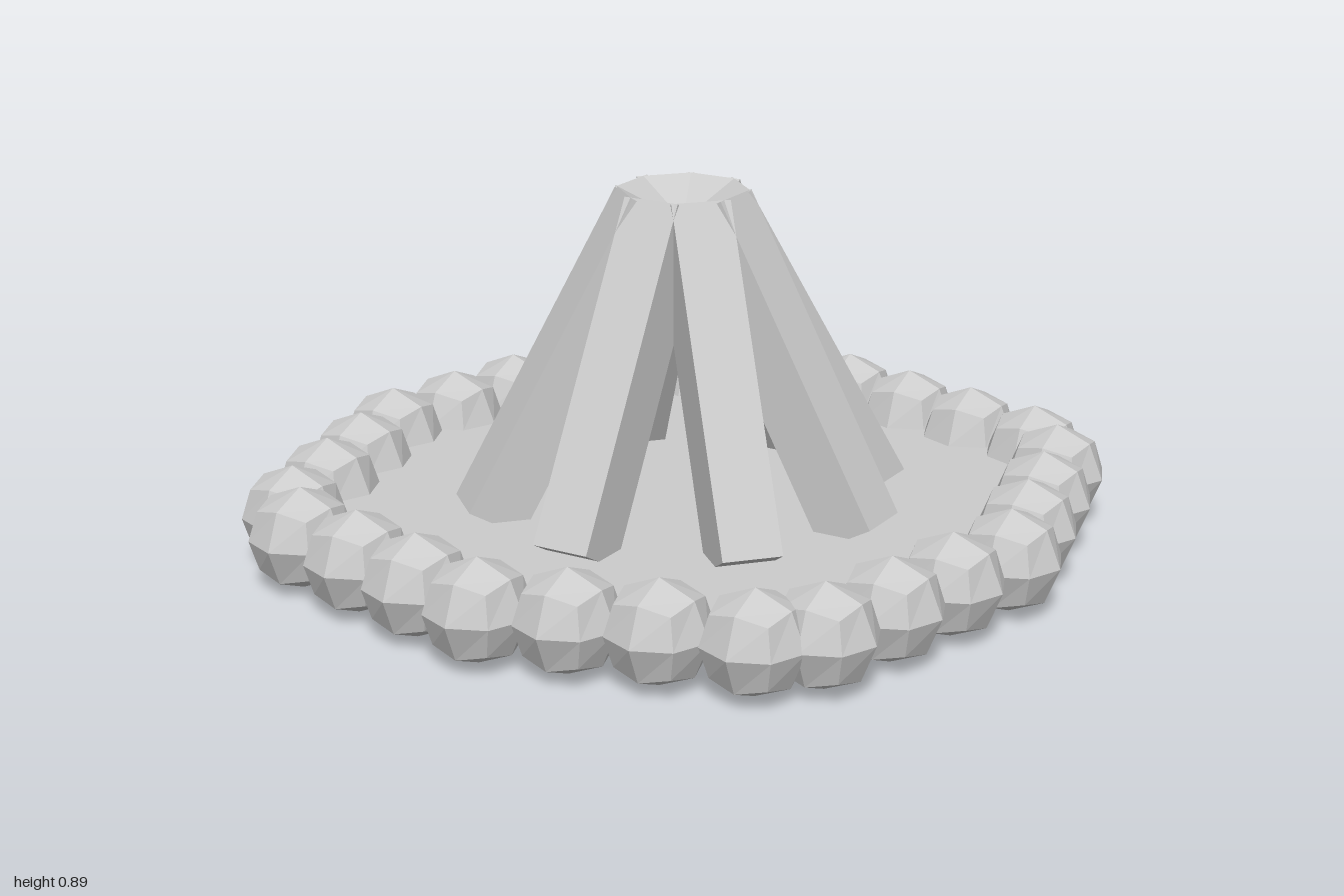
import * as THREE from 'three';

const STONE_R = 0.125;
const STONE_Y = 0.13;

// Blocky round stone: a 2x2x2 cube pushed out onto a sphere
function stoneGeometry() {
  const geo = new THREE.BoxGeometry(1, 1, 1, 2, 2, 2);
  const pos = geo.attributes.position;
  const v = new THREE.Vector3();
  for (let i = 0; i < pos.count; i++) {
    v.fromBufferAttribute(pos, i).setLength(STONE_R);
    pos.setXYZ(i, v.x, v.y, v.z);
  }
  geo.computeVertexNormals();
  return geo;
}

// Ring of stone centres: one seven-stone side, turned four times
function ringPoints() {
  const side = [[-0.61, 0.72], [-0.405, 0.775], [-0.203, 0.825], [0, 0.875],
    [0.203, 0.825], [0.405, 0.775], [0.61, 0.72]];
  const points = [];
  for (let q = 0; q < 4; q++) {
    for (const [x, z] of side) {
      points.push(new THREE.Vector2(x, z).rotateAround(new THREE.Vector2(), -q * Math.PI / 2));
    }
  }
  return points;
}

export function createModel() {
  const model = new THREE.Group();
  const material = new THREE.MeshStandardMaterial({ color: 0xcccccc, flatShading: true });
  const thin = material.clone();
  thin.side = THREE.DoubleSide;
  const points = ringPoints();

  // Stones around the edge
  const stones = new THREE.Group();
  stones.name = 'stoneRing';
  const stoneGeo = stoneGeometry();
  for (const p of points) {
    const stone = new THREE.Mesh(stoneGeo, material);
    stone.name = 'stone';
    stone.position.set(p.x, STONE_Y, p.y);
    stones.add(stone);
  }
  model.add(stones);

  // Flat ground sheet inside the ring
  const bed = new THREE.Mesh(new THREE.ShapeGeometry(new THREE.Shape(points)), thin);
  bed.name = 'groundSheet';
  bed.rotation.x = -Math.PI / 2;
  bed.position.y = STONE_Y;
  model.add(bed);

  // Eight square logs leaning together; outer edge runs from low to high
  const logs = new THREE.Group();
  logs.name = 'logs';
  const thick = 0.145;
  const low = new THREE.Vector2(0.55, 0.16);
  const high = new THREE.Vector2(0.145, 0.897);
  const lean = Math.atan2(low.x - high.x, high.y - low.y);
  const logGeo = new THREE.BoxGeometry(thick, low.distanceTo(high), thick);
  for (let i = 0; i < 8; i++) {
    const log = new THREE.Mesh(logGeo, material);
    log.name = 'log';
    log.rotation.z = lean;
    log.position.set(
      (low.x + high.x) / 2 - Math.cos(lean) * thick / 2,
      (low.y + high.y) / 2 - Math.sin(lean) * thick / 2, 0);
    const arm = new THREE.Group();
    arm.name = 'leaningLog';
    // Diagonal logs sit slightly off the exact diagonal
    arm.rotation.y = i * Math.PI / 4 + (i % 2) * 0.047;
    arm.add(log);
    logs.add(arm);
  }
  model.add(logs);
  return model;
}
